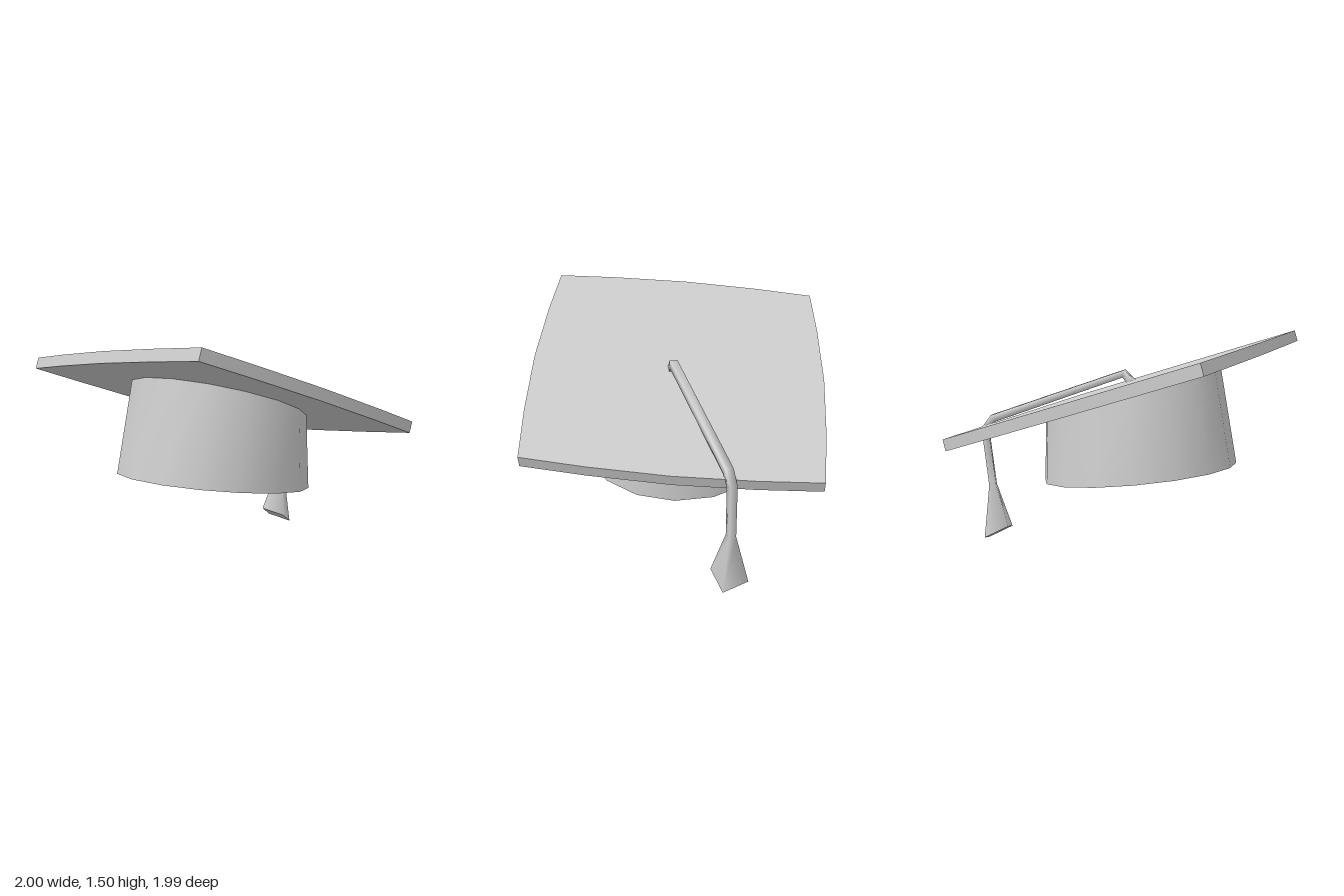
import * as THREE from 'three';
import { toCreasedNormals } from 'three/addons/utils/BufferGeometryUtils.js';

const V = (x, y, z) => new THREE.Vector3(x, y, z);
const grey = new THREE.MeshStandardMaterial({ color: 0xcccccc, side: THREE.DoubleSide });

function addMesh(parent, name, geometry) {
  const mesh = new THREE.Mesh(geometry, grey);
  mesh.name = name;
  parent.add(mesh);
}

// Skin a list of closed rings that all have the same number of points
function loft(rings) {
  const n = rings[0].length;
  const index = [];
  for (let i = 0; i < rings.length - 1; i++) {
    for (let j = 0; j < n; j++) {
      const a = i * n + j, b = i * n + (j + 1) % n;
      index.push(a, b, b + n, a, b + n, a + n);
    }
  }
  const geometry = new THREE.BufferGeometry().setFromPoints(rings.flat());
  geometry.setIndex(index);
  geometry.computeVertexNormals();
  return geometry;
}

// Flat, downward-facing polygon filling a ring
function capGeometry(ring) {
  const geometry = new THREE.BufferGeometry().setFromPoints(ring);
  const index = [];
  for (let i = 1; i < ring.length - 1; i++) index.push(0, i + 1, i);
  geometry.setIndex(index);
  geometry.computeVertexNormals();
  return geometry;
}

// Tilted plane of the board's upper face
const SLOPE_X = 0.071, SLOPE_Z = 0.305, THICKNESS = 0.08;
const boardTop = (x, z) => 1.157 + SLOPE_X * x + SLOPE_Z * z;

// Square board with slightly bowed edges, pitched forward and sheared sideways
function boardGeometry() {
  const corner = 0.953;
  const edge = [[-corner, corner], [-0.53, 0.985], [0, 1.003], [0.53, 0.985]];
  const outline = [];
  for (let side = 0; side < 4; side++) {
    for (const [x, y] of edge) {
      outline.push(new THREE.Vector2(x, y).rotateAround(new THREE.Vector2(), -side * Math.PI / 2));
    }
  }
  const geometry = new THREE.ExtrudeGeometry(new THREE.Shape(outline), {
    depth: THICKNESS, bevelEnabled: false,
  });
  geometry.rotateX(-Math.PI / 2).translate(0, -THICKNESS, 0);

  const right = V(0.997, SLOPE_X, -0.008);
  const up = V(0, 1, -SLOPE_Z).normalize();
  const front = V(0, SLOPE_Z, 1).normalize();
  geometry.applyMatrix4(new THREE.Matrix4().makeBasis(right, up, front));
  geometry.translate(0, boardTop(0, 0.011), 0.011);
  return toCreasedNormals(geometry, 0.5);
}

// Hollow head band: sloping lower rim, upper rim cut by the board
function bandRings() {
  const ring = (radius, centreZ, height) => Array.from({ length: 16 }, (_, i) => {
    const t = i / 16 * Math.PI * 2;
    const x = radius * Math.cos(t), z = centreZ - radius * Math.sin(t);
    return V(x, height(x, z), z);
  });
  const upper = (x, z) => boardTop(x, z) - 0.075;
  const ceiling = (x, z) => boardTop(x, z) - 0.28;
  const lower = (x, z) => 0.53 + 0.111 * (z - 0.095);
  return [
    ring(0.55, 0.05, ceiling),
    ring(0.58, 0.095, lower),
    ring(0.677, 0.095, lower),
    ring(0.613, 0.035, upper),
  ];
}

// Four-sided cord that flares into the tassel, listed from the bottom up
function tasselRings() {
  const path = [
    V(-0.376, 0.066, -0.86),
    V(-0.378, 0.41, -0.9),
    V(-0.375, 0.815, -0.958),
    V(-0.35, 0.89, -0.905),
    V(0.035, 1.214, -0.05),
    V(0.048, 1.15, 0.01),
  ];
  const radii = [0.132, 0.035, 0.036, 0.039, 0.039, 0.038];
  const e1 = V(0.125, 0.02, 0.035).normalize();
  const tangent = V(0, 0.88, -0.48).normalize();
  return path.map((p, i) => {
    if (i > 0) {
      // carry the section along the path without twisting it
      const next = p.clone().sub(path[i - 1]).normalize();
      if (i < path.length - 1) next.add(path[i + 1].clone().sub(p).normalize()).normalize();
      e1.applyQuaternion(new THREE.Quaternion().setFromUnitVectors(tangent, next));
      tangent.copy(next);
    }
    const e2 = V().crossVectors(tangent, e1);
    return [[e1, 1], [e2, 1], [e1, -1], [e2, -1]].map(
      ([e, s]) => p.clone().addScaledVector(e, s * radii[i]));
  });
}

export function createModel() {
  const model = new THREE.Group();
  model.name = 'graduationCap';
  addMesh(model, 'board', boardGeometry());

  const band = new THREE.Group();
  band.name = 'headBand';
  const bandLoops = bandRings();
  addMesh(band, 'bandWall', toCreasedNormals(loft(bandLoops), 0.6));
  addMesh(band, 'bandCeiling', capGeometry(bandLoops[0]));
  model.add(band);

  const tassel = new THREE.Group();
  tassel.name = 'tassel';
  const tasselLoops = tasselRings();
  addMesh(tassel, 'cordAndTassel', loft(tasselLoops));
  addMesh(tassel, 'tasselEnd', capGeometry(tasselLoops[0]));
  model.add(tassel);
  return model;
}
